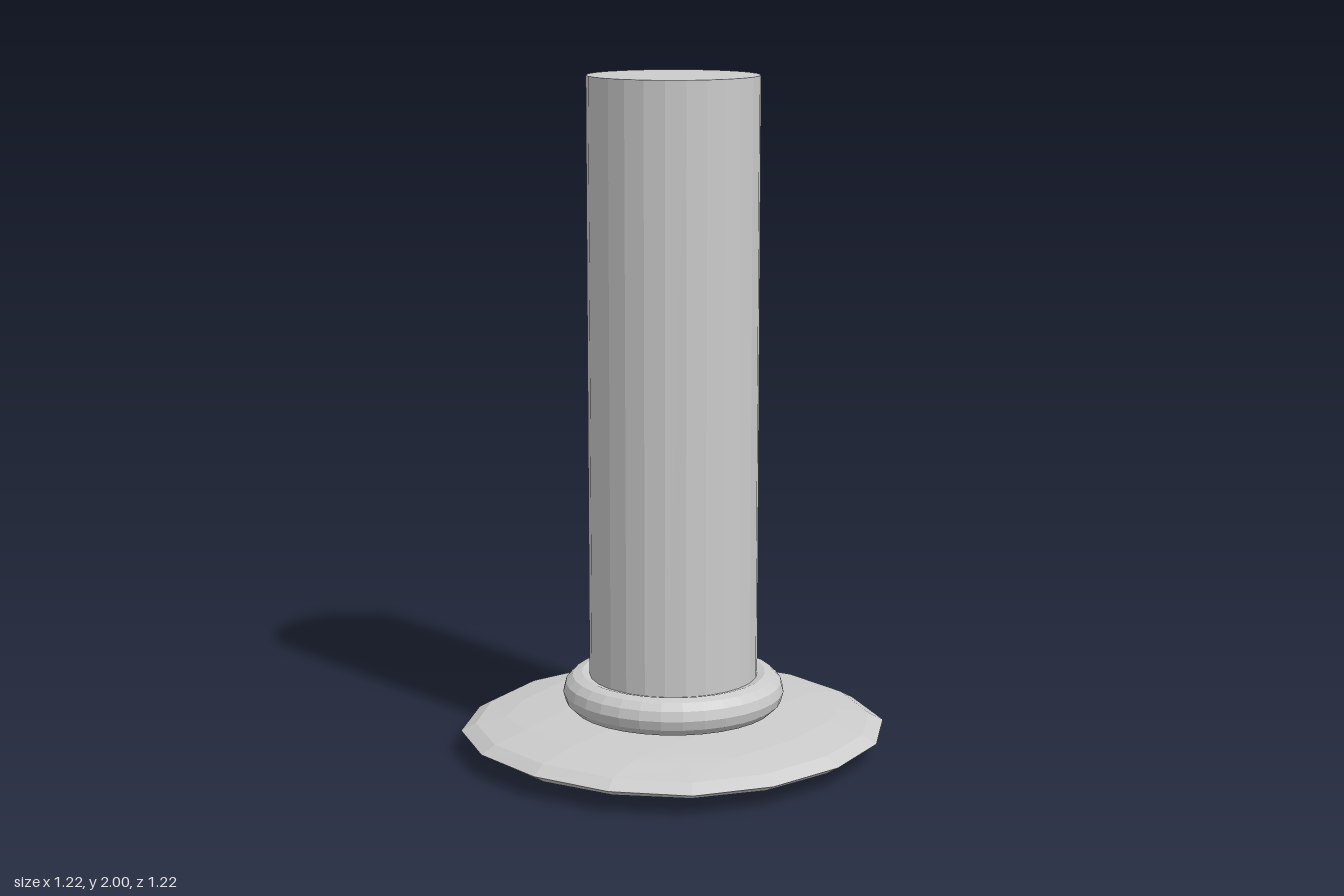
import * as THREE from 'three';

const material = new THREE.MeshStandardMaterial({ color: 0xcccccc, flatShading: true });

// Flattened, subdivided-cube dome: each grid point is pulled to its rounded place by its class.
const ROUNDED = {
  '0,0,2': [0, 0, 0.612],
  '0,1,2': [0, 0.244, 0.571],
  '0,2,2': [0, 0.448, 0.448],
  '1,1,2': [0, 0.227, 0.532],
  '1,2,2': [0, 0.21, 0.417],
  '2,2,2': [0, 0, 0.354],
};

function roundedDiscGeometry(halfHeight) {
  const geometry = new THREE.BoxGeometry(4, 4, 4, 4, 4, 4);
  const pos = geometry.attributes.position;
  for (let i = 0; i < pos.count; i++) {
    const p = [pos.getX(i), pos.getY(i), pos.getZ(i)].map(Math.round);
    const size = ROUNDED[p.map(Math.abs).sort().join(',')];
    const [x, y, z] = p.map((c) => Math.sign(c) * size[Math.abs(c)]);
    pos.setXYZ(i, x, (y * halfHeight) / 0.612, z);
  }
  geometry.computeVertexNormals();
  return geometry;
}

export function createModel() {
  const model = new THREE.Group();
  const add = (name, geometry, y) => {
    const mesh = new THREE.Mesh(geometry, material);
    mesh.name = name;
    mesh.position.y = y;
    model.add(mesh);
    return mesh;
  };

  // Lens-shaped foot
  add('baseDisc', roundedDiscGeometry(0.066), 0.066);

  // Rounded ring around the foot of the shaft
  const collar = add('collar', new THREE.TorusGeometry(0.273, 0.056, 12, 32), 0.18);
  collar.rotation.x = Math.PI / 2;

  // Tall capped shaft
  const bottom = 0.1;
  const shaft = new THREE.CylinderGeometry(0.25, 0.25, 2 - bottom, 26, 1, false, Math.PI / 2);
  add('shaft', shaft, (2 + bottom) / 2);

  return model;
}
